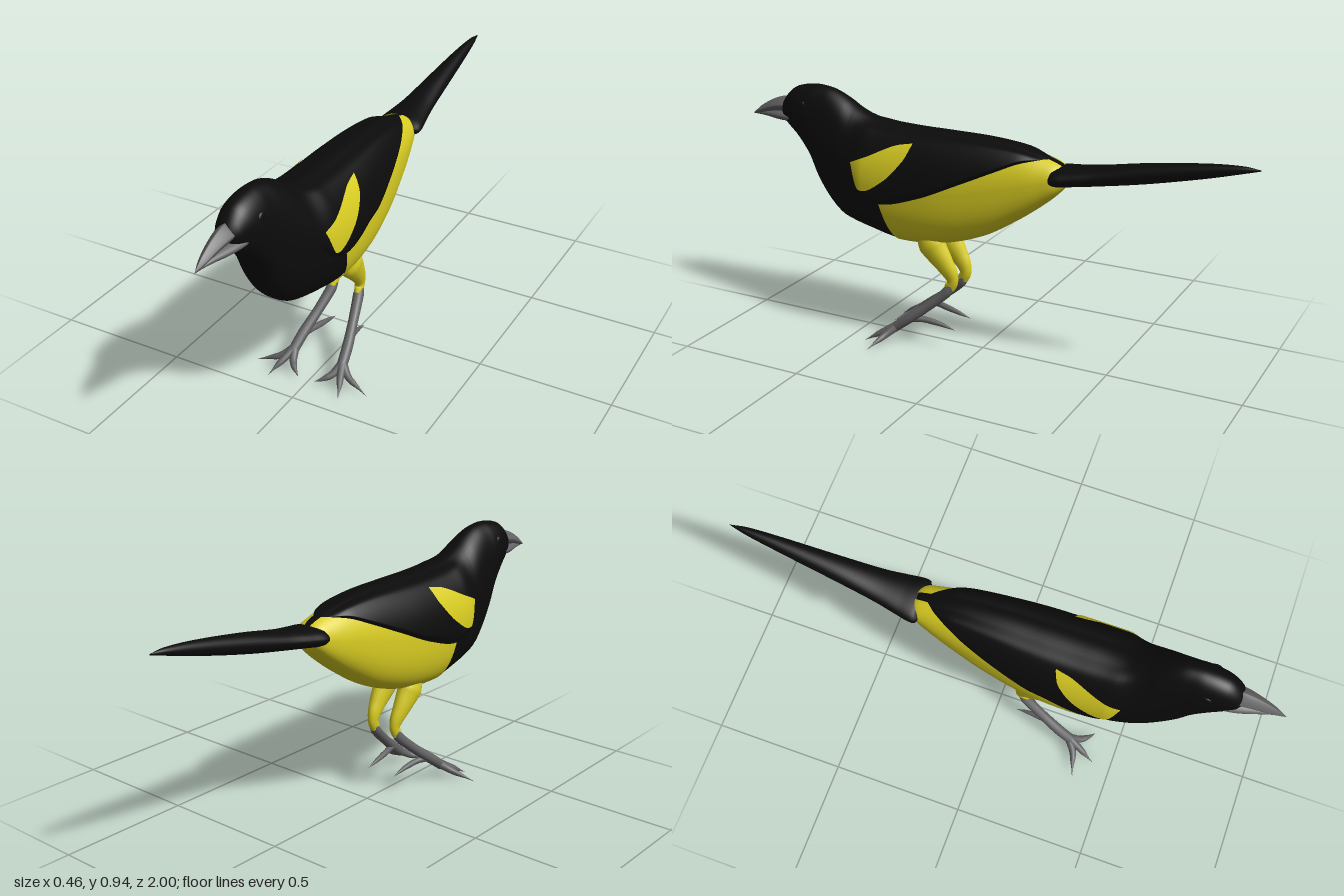
import * as THREE from 'three';
import { mergeVertices } from 'three/addons/utils/BufferGeometryUtils.js';

const material = (name, color) => {
  const m = new THREE.MeshStandardMaterial({ color, side: THREE.DoubleSide });
  m.name = name;
  return m;
};
const lerp = THREE.MathUtils.lerp;
const smooth = THREE.MathUtils.smoothstep;

// Smooth curve through [z, value] points, z descending
function curve(pts) {
  const slope = (i) => {
    const a = pts[Math.max(i - 1, 0)], b = pts[Math.min(i + 1, pts.length - 1)];
    return (b[1] - a[1]) / (b[0] - a[0]);
  };
  return (z) => {
    let i = 0;
    while (i < pts.length - 2 && z < pts[i + 1][0]) i++;
    const [z0, v0] = pts[i], [z1, v1] = pts[i + 1];
    const d = z1 - z0, t = THREE.MathUtils.clamp((z - z0) / d, 0, 1);
    const t2 = t * t, t3 = t2 * t;
    return v0 * (2 * t3 - 3 * t2 + 1) + slope(i) * d * (t3 - 2 * t2 + t)
      + v1 * (3 * t2 - 2 * t3) + slope(i + 1) * d * (t3 - t2);
  };
}

// Grid surface from a point function of (u, v)
function grid(nu, nv, point, flip = false) {
  const pos = [], index = [];
  for (let i = 0; i <= nu; i++) {
    for (let j = 0; j <= nv; j++) pos.push(...point(i / nu, j / nv));
  }
  for (let i = 0; i < nu; i++) {
    for (let j = 0; j < nv; j++) {
      const a = i * (nv + 1) + j, b = a + 1, c = a + nv + 1, d = c + 1;
      if (flip) index.push(a, b, c, b, d, c);
      else index.push(a, c, b, b, c, d);
    }
  }
  const g = new THREE.BufferGeometry();
  g.setAttribute('position', new THREE.Float32BufferAttribute(pos, 3));
  g.setIndex(index);
  const merged = mergeVertices(g, 1e-5);
  merged.computeVertexNormals();
  return merged;
}

// Rounded form along z from rows [z, top, bottom, halfWidth]
function form(rows, nTop = 2, nBottom = 2) {
  const top = curve(rows.map((r) => [r[0], r[1]]));
  const bottom = curve(rows.map((r) => [r[0], r[2]]));
  const width = curve(rows.map((r) => [r[0], r[3]]));
  const point = (z, a, offset = 0) => {
    const c = Math.cos(a), s = Math.sin(a), e = 2 / (s > 0 ? nTop : nBottom);
    const x = Math.sign(c) * Math.abs(c) ** e, y = Math.sign(s) * Math.abs(s) ** e;
    const mid = (top(z) + bottom(z)) / 2, h = (top(z) - bottom(z)) / 2;
    return [x * (Math.max(width(z), 0) + offset), mid + y * (h + offset), z];
  };
  const angleAt = (z, y) => {
    const v = (y - (top(z) + bottom(z)) / 2) / ((top(z) - bottom(z)) / 2);
    const n = v > 0 ? nTop : nBottom;
    return Math.min(Math.sign(v) * Math.asin(Math.min(Math.abs(v), 1) ** (n / 2)), 1.35);
  };
  const z0 = rows[0][0], z1 = rows[rows.length - 1][0];
  const geometry = (nu, nv) => grid(nu, nv, (u, v) => point(lerp(z0, z1, u), v * Math.PI * 2));
  return { point, angleAt, geometry };
}

// Tapered limb through points, with a radius for each point
function limb(points, radii, squash = 1) {
  const n = 24;
  const path = new THREE.CatmullRomCurve3(points.map((p) => new THREE.Vector3(...p)));
  const { normals, binormals } = path.computeFrenetFrames(n, false);
  return grid(n, 14, (u, v) => {
    const k = Math.round(u * n), a = v * Math.PI * 2;
    const f = u * (radii.length - 1), i = Math.min(Math.floor(f), radii.length - 2);
    const r = lerp(radii[i], radii[i + 1], f - i);
    const p = path.getPoint(u), o = new THREE.Vector3();
    o.addScaledVector(normals[k], r * Math.cos(a)).addScaledVector(binormals[k], r * Math.sin(a));
    return [p.x + o.x * squash, p.y + o.y, p.z + o.z];
  }, true);
}

export function createModel() {
  const black = material('black plumage', 0x0b0b0b);
  const yellow = material('yellow plumage', 0xd9cd22);
  const grey = material('grey horn', 0x626264);
  const bird = new THREE.Group();
  bird.name = 'bird';
  const add = (name, geometry, mat, parent = bird) => {
    const m = new THREE.Mesh(geometry, mat);
    m.name = name;
    parent.add(m);
    return m;
  };

  // Head and body in one smooth form
  const body = form([
    [0.86, 0.845, 0.83, 0], [0.84, 0.88, 0.8, 0.036], [0.8, 0.922, 0.765, 0.056],
    [0.76, 0.938, 0.73, 0.068], [0.705, 0.946, 0.655, 0.079], [0.67, 0.945, 0.575, 0.085],
    [0.625, 0.937, 0.51, 0.095], [0.57, 0.912, 0.462, 0.11], [0.52, 0.88, 0.445, 0.123],
    [0.44, 0.847, 0.428, 0.135], [0.31, 0.836, 0.405, 0.141], [0.14, 0.834, 0.42, 0.137],
    [-0.02, 0.831, 0.472, 0.118], [-0.15, 0.816, 0.55, 0.096], [-0.26, 0.788, 0.632, 0.072],
    [-0.315, 0.765, 0.685, 0.05], [-0.34, 0.735, 0.72, 0],
  ], 2, 2.6);
  add('body', body.geometry(96, 56), black);

  // Lower wing edge, also the upper limit of the yellow belly
  const wingEdge = curve([[0.52, 0.69], [0.45, 0.6], [0.355, 0.567], [0.195, 0.61],
    [0.035, 0.68], [-0.1, 0.74], [-0.18, 0.772], [-0.28, 0.79], [-0.34, 0.8]]);
  const bulge = (z, a) => 0.015 * smooth(-z, -0.51, -0.42) * smooth(z, -0.28, -0.16)
    * (1 - smooth(a, 0.95, 1.35));
  const patchTop = curve([[0.475, 0.705], [0.41, 0.727], [0.3, 0.773], [0.23, 0.787]]);
  const patchLow = curve([[0.475, 0.7], [0.437, 0.615], [0.33, 0.655], [0.25, 0.735], [0.23, 0.782]]);

  for (const side of [1, -1]) {
    const label = side > 0 ? 'left' : 'right';
    // Surface lying on the body between two angles
    const sheet = (zFront, zBack, low, high, offset) => grid(48, 26, (u, v) => {
      const z = lerp(zFront(v), zBack, u), a = lerp(low(z), high(z), v);
      const p = body.point(z, a, offset(z, a, v));
      return [p[0] * side, p[1], p[2]];
    }, side < 0);

    add(label + 'Belly', sheet((v) => 0.31 + 0.045 * v * v, -0.336, () => -Math.PI / 2,
      (z) => body.angleAt(z, wingEdge(z)), () => 0.004), yellow);
    add(label + 'Wing', sheet(() => 0.52, -0.28, (z) => body.angleAt(z, wingEdge(z)),
      () => 1.38, (z, a, v) => (v === 0 ? -0.004 : bulge(z, a))), black);
    add(label + 'WingPatch', sheet(() => 0.475, 0.23, (z) => body.angleAt(z, patchLow(z)),
      (z) => body.angleAt(z, patchTop(z)), (z, a) => bulge(z, a) + 0.004), yellow);

    // Eye, nearly flush with the head
    const eye = add(label + 'Eye', new THREE.SphereGeometry(0.022, 20, 14), black);
    eye.position.set(side * 0.061, 0.868, 0.73);
    eye.scale.x = 0.4;

    // Leg and foot
    const leg = new THREE.Group();
    leg.name = label + 'Leg';
    bird.add(leg);
    const part = (name, points, radii, mat, squash) =>
      add(name, limb(points.map(([x, y, z]) => [x * side, y, z]), radii, squash), mat, leg);
    part('thigh', [[0.057, 0.47, 0.21], [0.057, 0.41, 0.18], [0.056, 0.34, 0.128],
      [0.052, 0.285, 0.098], [0.053, 0.245, 0.112]], [0.04, 0.056, 0.038, 0.025, 0.021], yellow, 0.72);
    part('shank', [[0.052, 0.265, 0.1], [0.056, 0.235, 0.118], [0.075, 0.165, 0.195],
      [0.092, 0.11, 0.265], [0.102, 0.06, 0.33]], [0.015, 0.02, 0.018, 0.02, 0.019], grey);
    part('outerToe', [[0.095, 0.075, 0.31], [0.14, 0.042, 0.345], [0.185, 0.026, 0.36],
      [0.231, 0.01, 0.375]], [0.017, 0.014, 0.011, 0.004, 0], grey);
    part('middleToe', [[0.1, 0.072, 0.315], [0.118, 0.045, 0.365], [0.133, 0.025, 0.4],
      [0.145, 0.006, 0.432]], [0.018, 0.014, 0.011, 0.004, 0], grey);
    part('innerToe', [[0.1, 0.072, 0.315], [0.08, 0.042, 0.36], [0.058, 0.032, 0.385],
      [0.033, 0.024, 0.405]], [0.017, 0.014, 0.012, 0.006, 0], grey);
    part('backToe', [[0.09, 0.112, 0.265], [0.073, 0.109, 0.21], [0.064, 0.098, 0.14],
      [0.062, 0.084, 0.083]], [0.016, 0.012, 0.011, 0.007, 0], grey);
  }

  // Beak: ridged upper half over a wider rounded lower half
  const upper = form([[1, 0.802, 0.798, 0], [0.96, 0.835, 0.803, 0.014], [0.9, 0.868, 0.814, 0.026],
    [0.84, 0.886, 0.82, 0.035], [0.8, 0.88, 0.822, 0.036]], 1.2, 1.5);
  add('upperBeak', upper.geometry(24, 32), grey);
  const lower = form([[0.985, 0.803, 0.798, 0], [0.93, 0.818, 0.796, 0.018], [0.86, 0.83, 0.791, 0.042],
    [0.81, 0.834, 0.793, 0.054], [0.785, 0.83, 0.8, 0.054], [0.765, 0.816, 0.81, 0.035]], 2, 2);
  add('lowerBeak', lower.geometry(24, 32), grey);

  // Long tapering tail
  const tail = form([[-0.28, 0.735, 0.725, 0.06], [-0.287, 0.759, 0.703, 0.08],
    [-0.31, 0.768, 0.696, 0.086], [-0.36, 0.774, 0.703, 0.078], [-0.45, 0.787, 0.717, 0.062],
    [-0.61, 0.817, 0.746, 0.045], [-0.82, 0.846, 0.795, 0.026], [-0.94, 0.854, 0.828, 0.013],
    [-1, 0.849, 0.845, 0]]);
  add('tail', tail.geometry(64, 28), black);

  return bird;
}
